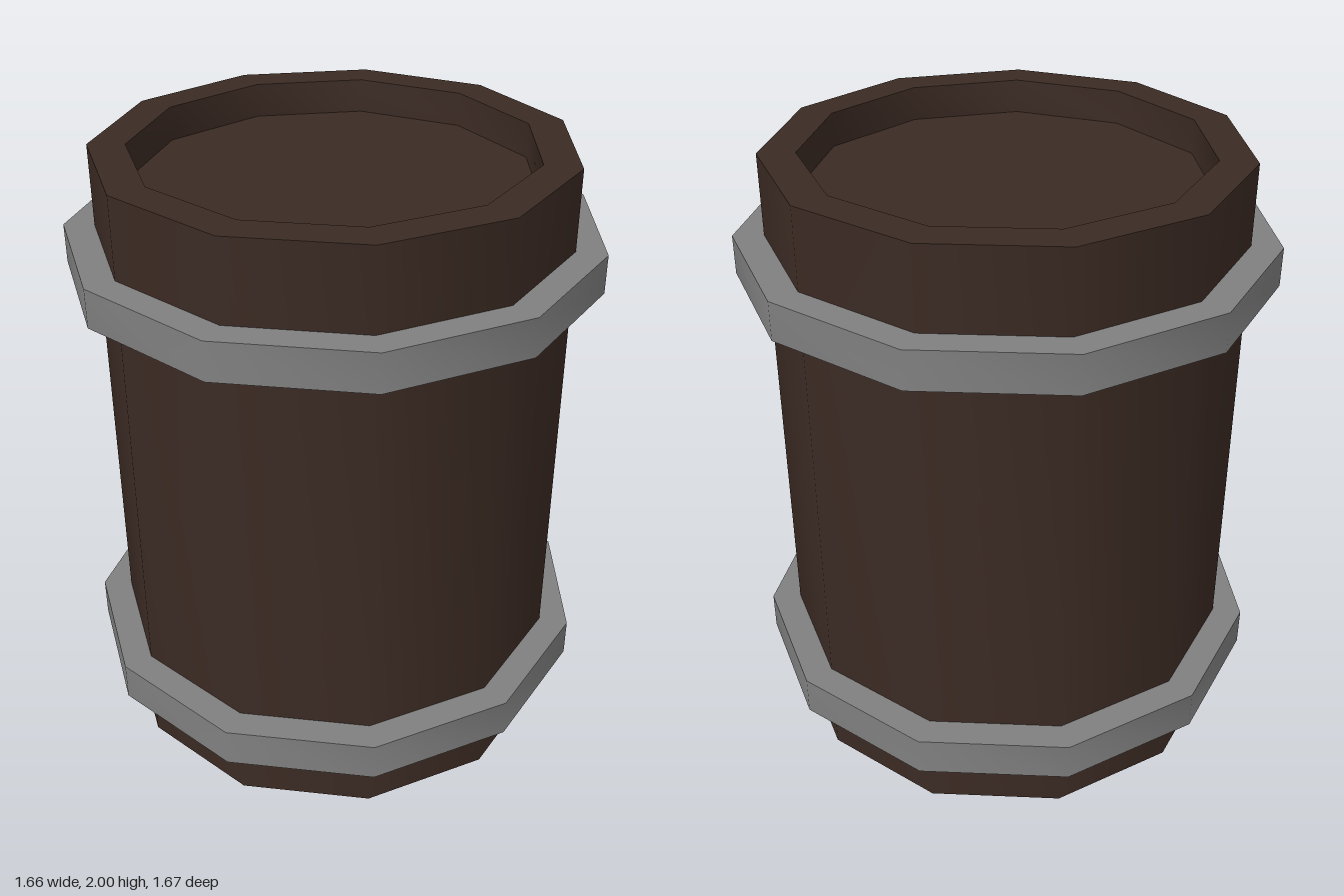
import * as THREE from 'three';
import { toCreasedNormals } from 'three/addons/utils/BufferGeometryUtils.js';

const SIDES = 11;
const BODY_RADIUS = 0.749;
const HOOP_RADIUS = 0.846;
const LID_RADIUS = 0.632;

const wood = new THREE.MeshStandardMaterial({ color: 0x3b2a23 });
const metal = new THREE.MeshStandardMaterial({ color: 0x808080 });

// Turns a [radius, height] profile into an eleven-sided solid, one corner on +x
function turned(name, profile, material) {
  const points = profile.map(([r, y]) => new THREE.Vector2(r, y));
  const lathe = new THREE.LatheGeometry(points, SIDES, Math.PI / 2);
  // Staves blend smoothly, rims stay sharp
  const mesh = new THREE.Mesh(toCreasedNormals(lathe, Math.PI / 4), material);
  mesh.name = name;
  return mesh;
}

export function createModel() {
  const barrel = new THREE.Group();
  barrel.name = 'barrel';

  // Straight body with a raised rim around the sunken lid
  barrel.add(turned('body', [
    [0, 0], [BODY_RADIUS, 0], [BODY_RADIUS, 2],
    [LID_RADIUS, 2], [LID_RADIUS, 1.89], [0, 1.89],
  ], wood));

  // Two metal hoops
  const hoops = [['lowerHoop', 0.2, 0.33], ['upperHoop', 1.615, 1.74]];
  for (const [name, bottom, top] of hoops) {
    barrel.add(turned(name, [
      [BODY_RADIUS - 0.01, bottom], [HOOP_RADIUS, bottom], [HOOP_RADIUS, top],
      [BODY_RADIUS - 0.01, top], [BODY_RADIUS - 0.01, bottom],
    ], metal));
  }

  // Centre the odd-sided outline on x
  for (const part of barrel.children) part.position.x = -0.018;
  return barrel;
}
